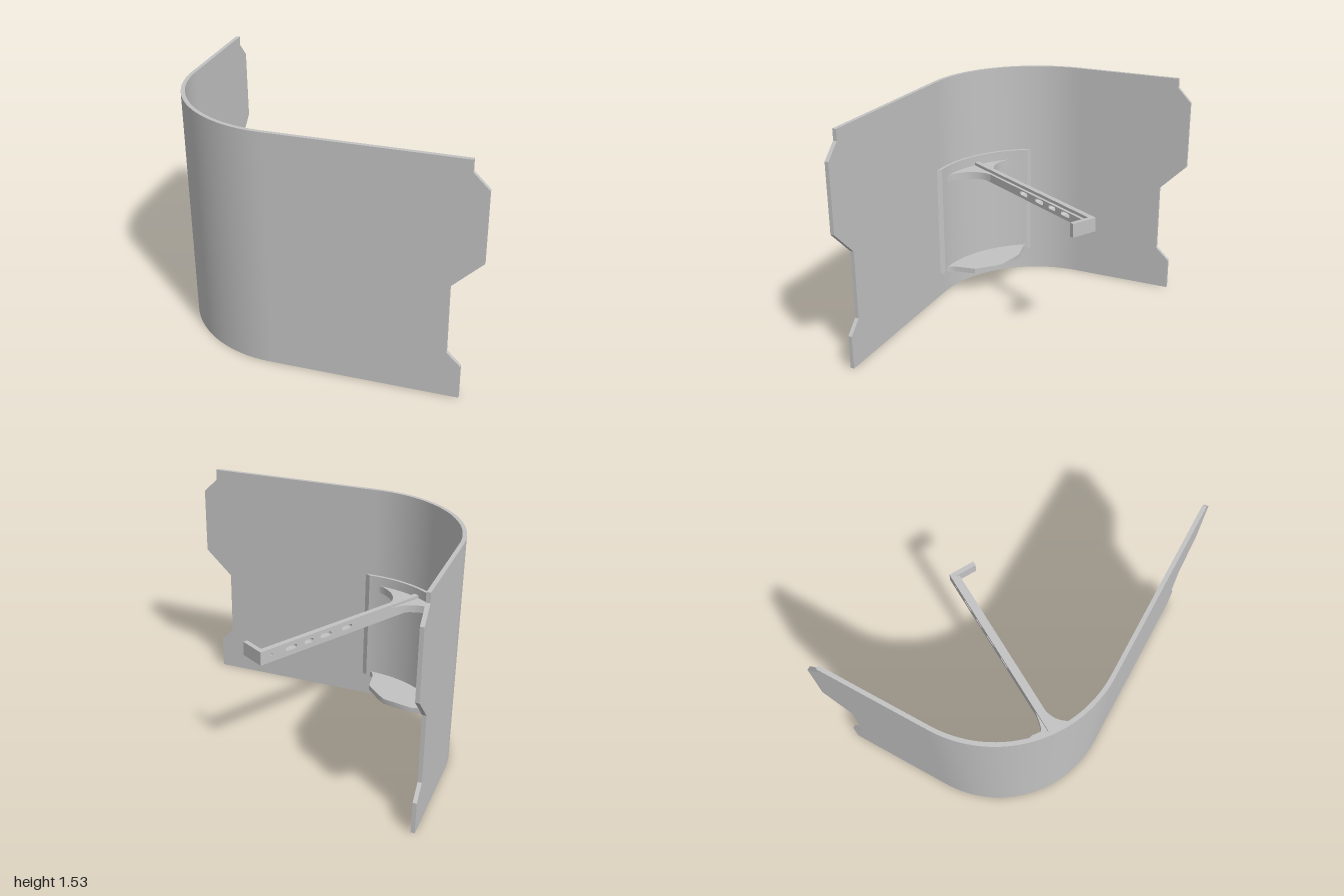
import * as THREE from 'three';
import { toCreasedNormals } from 'three/addons/utils/BufferGeometryUtils.js';

const CX = -0.26, CZ = 0.025, R = 0.74, T = 0.025; // centre, radius and thickness of the curved wall

export function createModel() {
  const group = new THREE.Group();
  const grey = new THREE.MeshStandardMaterial({ color: 0xc2c2c2 });
  grey.name = 'plain grey';

  const add = (name, geometry, parent = group) => {
    const mesh = new THREE.Mesh(toCreasedNormals(geometry, 0.5), grey);
    mesh.name = name;
    parent.add(mesh);
    return mesh;
  };
  const extrude = (shape, depth) =>
    new THREE.ExtrudeGeometry(shape, { depth, bevelEnabled: false, curveSegments: 10 });
  const shapeOf = (pts) => new THREE.Shape(pts.map(([x, y]) => new THREE.Vector2(x, y)));

  // Plan outline in [x, z], raised from y0 to y1
  const slab = (name, pts, y0, y1) => {
    const g = extrude(shapeOf(pts.map(([x, z]) => [x, -z])), y1 - y0);
    g.rotateX(-Math.PI / 2);
    g.translate(0, y0, 0);
    return add(name, g);
  };
  // Points on a circle about the wall centre, angles in degrees from +x towards +z
  const arc = (r, a0, a1, n) => Array.from({ length: n + 1 }, (_, i) => {
    const a = THREE.MathUtils.degToRad(a0 + (a1 - a0) * i / n);
    return [CX + r * Math.cos(a), CZ + r * Math.sin(a)];
  });
  const spline = (pts, n = 16) =>
    new THREE.CatmullRomCurve3(pts.map(([x, z]) => new THREE.Vector3(x, 0, z)))
      .getPoints(n).map((p) => [p.x, p.z]);

  // Curved corner of the wall
  slab('curvedWall', [...arc(R, 90, 180, 40), ...arc(R - T, 180, 90, 40)], 0, 1.53);

  // Flat front wall with its notched edge
  const front = extrude(shapeOf([[CX, 0], [0.905, 0], [0.905, 0.22], [0.82, 0.305], [0.82, 0.75],
    [1, 0.925], [1, 1.365], [0.905, 1.46], [0.905, 1.53], [CX, 1.53]]), T);
  front.translate(0, 0, CZ + R - T);
  add('frontWall', front);

  // Flat side wall with its notched edge
  const side = extrude(shapeOf([[CZ, 0], [-0.675, 0], [-0.675, 0.21], [-0.585, 0.295], [-0.585, 0.745],
    [-0.765, 0.925], [-0.765, 1.375], [-0.675, 1.47], [-0.675, 1.53], [CZ, 1.53]]), T);
  side.rotateY(-Math.PI / 2);
  side.translate(CX - R + T, 0, 0);
  add('sideWall', side);

  // Thin liner on the inside of the curve, tapering into the wall at both ends
  slab('liner', [...arc(R - 0.01, 84, 154, 36), ...arc(R - 0.045, 150, 88, 36)], 0.16, 0.93);

  // Low shelf at the foot of the liner
  slab('shelf', [
    ...arc(R - 0.01, 85, 154, 30),
    [-0.87, 0.375], [-0.82, 0.385], [-0.67, 0.35], [-0.47, 0.39], [-0.42, 0.43], [-0.32, 0.53],
    ...spline([[-0.30, 0.66], [-0.285, 0.70], [-0.25, 0.728], [-0.20, 0.738]], 8),
  ], 0.155, 0.192);

  // Curved gussets where the arm meets the wall
  slab('sideGusset', [
    ...spline([[-0.88, 0.375], [-0.83, 0.44], [-0.75, 0.50], [-0.66, 0.52], [-0.56, 0.49], [-0.475, 0.405]]),
    [-0.45, 0.41], ...arc(R - 0.01, 114, 151, 20),
  ], 0.815, 0.865);
  slab('frontGusset', [
    ...spline([[-0.435, 0.425], [-0.455, 0.53], [-0.42, 0.63], [-0.33, 0.71], [-0.21, 0.737]]),
    ...arc(R - 0.01, 88, 116, 16), [-0.47, 0.43],
  ], 0.815, 0.865);

  // Slotted arm: x runs along the arm from the wall, z is its thickness
  const arm = new THREE.Group();
  arm.name = 'arm';
  arm.position.set(-0.6, 0, 0.62);
  arm.rotation.y = Math.PI / 3;
  group.add(arm);
  const LEN = 1.281, MID = 0.843, HR = 0.014;
  const slots = [[0.569, 0.65], [0.736, 0.823], [0.88, 0.95], [1.007, 1.094]];
  const bar = (name, y0, y1, z0, z1, x0) => {
    const s = shapeOf([[x0, y0], [LEN, y0], [LEN, y1], [x0, y1]]);
    for (const [a, b] of slots) {
      const hole = new THREE.Path();
      hole.absarc(b - HR, MID, HR, -Math.PI / 2, Math.PI / 2, false);
      hole.absarc(a + HR, MID, HR, Math.PI / 2, Math.PI * 1.5, false);
      hole.closePath();
      s.holes.push(hole);
    }
    s.holes.push(new THREE.Path().absarc(1.2, MID, 0.009, 0, Math.PI * 2, false));
    const g = extrude(s, z1 - z0);
    g.translate(0, 0, z0);
    add(name, g, arm);
  };
  bar('armPlate', 0.795, 0.885, 0, 0.035, -0.03);
  bar('armRib', 0.815, 0.865, 0.035, 0.055, -0.05);

  // Bent tip of the arm
  const hook = new THREE.BoxGeometry(0.03, 0.09, 0.174);
  hook.translate(LEN - 0.015, 0.84, 0.087);
  add('armHook', hook, arm);

  return group;
}
